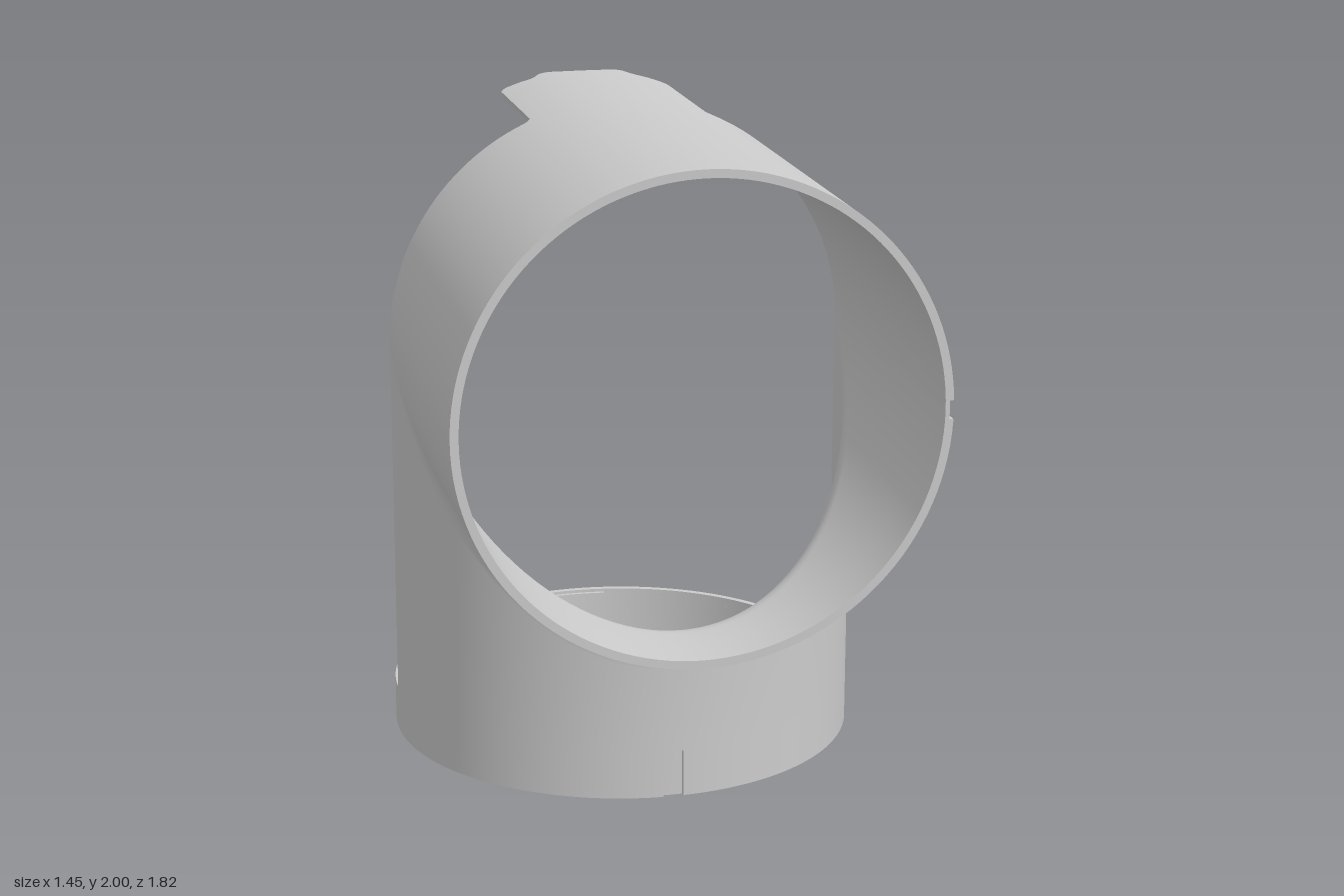
import * as THREE from 'three';
import { toCreasedNormals } from 'three/addons/utils/BufferGeometryUtils.js';

const R = 0.725, RI = 0.70;        // outer and inner tube radius
const AXIS_Y = 1.275, AXIS_Z = -0.18; // axes of the horizontal and vertical tube
const BLEND = 0.865;               // radius on which the fillet centres lie
const FRONT = 0.91, E = 0.0008;
const material = new THREE.MeshStandardMaterial({ color: 0xcccccc, side: THREE.DoubleSide });
const V = (x, y, z) => new THREE.Vector3(x, y, z);
const rad = THREE.MathUtils.degToRad;

// Shallow keying slots: outer points inside one are pulled inwards
function slot(p) {
  if (Math.abs(p.x) < 0.03 && p.y < 0.145 && p.z > 0) p.z -= 0.012;
  if (p.x > 0.6 && p.z > 0.77 && p.y > 1.245 && p.y < 1.3) p.x -= 0.012;
  return p;
}

// Skin over closed loops, with optional caps on the first k segments of the end loops
function skin(loops, k = 0) {
  const n = loops[0].length, index = [];
  const quad = (a, b, c, d) => index.push(a, b, c, a, c, d);
  for (let c = 0; c < loops.length - 1; c++)
    for (let i = 0; i < n; i++) {
      const j = (i + 1) % n, a = c * n, b = a + n;
      quad(a + i, b + i, b + j, a + j);
    }
  const last = (loops.length - 1) * n;
  for (let i = 0; i < k; i++) {
    quad(i, i + 1, n - 2 - i, n - 1 - i);
    quad(last + i, last + n - 1 - i, last + n - 2 - i, last + i + 1);
  }
  const g = new THREE.BufferGeometry().setFromPoints(loops.flat());
  g.setIndex(index);
  return toCreasedNormals(g, 0.6);
}

// Lower shell: runs up the vertical half tube, round the fillet and out along the horizontal one
function lowerPath(phi, r) {
  const s = Math.sin(phi), c = Math.max(0, Math.cos(phi)), rho = BLEND - r;
  const pts = [0, 0.145 - E, 0.145 + E].map(y => V(r * s, y, AXIS_Z + r * c));
  const centre = V(BLEND * s, AXIS_Y - BLEND * c, AXIS_Z + BLEND * c);
  for (let i = 0; i <= 10; i++) {
    const d = V(-s, 0, -c).lerp(V(-s, c, 0), i / 10).normalize();
    pts.push(d.multiplyScalar(rho).add(centre));
  }
  for (const z of [0.77 - E, 0.77 + E, FRONT]) pts.push(V(r * s, AXIS_Y - r * c, z));
  return pts;
}

function lowerShell() {
  const angles = [];
  for (let i = 0; i <= 64; i++) angles.push(-Math.PI / 2 + Math.PI * i / 64);
  const a = Math.asin(0.03 / R), b = Math.acos(0.03 / R);
  for (const e of [-E, E]) angles.push(a + e, -a + e, b + e);
  angles.sort((p, q) => p - q);
  return skin(angles.map(p => [...lowerPath(p, R).map(slot), ...lowerPath(p, RI).reverse()]), 3);
}

// Rear edge of the upper shell, including the tongue with its rounded corners and two bumps
const TIP = [[0, -0.705], [0.03, -0.708], [0.06, -0.717], [0.09, -0.735], [0.11, -0.747],
  [0.125, -0.75], [0.14, -0.745], [0.15, -0.73], [0.16, -0.715], [0.175, -0.706], [0.245, -0.705]];
function rearEdge(x) {
  x = Math.abs(x);
  if (x >= 0.305) return AXIS_Z;
  const arc = d => Math.sqrt(Math.max(0, 0.0009 - d * d));
  if (x > 0.275) return AXIS_Z - 0.03 + arc(x - 0.305);
  if (x > 0.245) return -0.675 - arc(x - 0.245);
  const i = Math.max(1, TIP.findIndex(p => p[0] >= x));
  const [p, q] = [TIP[i - 1], TIP[i]];
  return THREE.MathUtils.mapLinear(x, p[0], q[0], p[1], q[1]);
}

function upperShell() {
  const half = TIP.map(p => p[0]).concat([0.21, 0.255, 0.265, 0.272, 0.275, 0.2752, 0.277, 0.285, 0.295, 0.305])
    .map(x => Math.asin(x / R));
  const from = Math.asin(0.305 / R);
  for (let i = 1; i <= 26; i++) half.push(from + (Math.PI / 2 - from) * i / 26);
  const s = Math.acos(0.025 / R);
  half.push(s - E, s + E);
  const angles = [...half, ...half.filter(a => a > 0).map(a => -a)].sort((a, b) => a - b);
  return skin(angles.map(a => {
    const rows = [FRONT, 0.77 + E, 0.77 - E, AXIS_Z + 0.1, rearEdge(R * Math.sin(a))];
    const line = r => rows.map(z => V(r * Math.sin(a), AXIS_Y + r * Math.cos(a), z));
    return [...line(R).map(slot), ...line(RI).reverse()];
  }));
}

// Solid arc about the vertical axis; degrees run from +x (0) over the rear (90) to -x (180)
function band(r0, r1, a0, a1, y, h) {
  const shape = new THREE.Shape();
  shape.absarc(0, 0, r1, rad(a0), rad(a1), false);
  shape.absarc(0, 0, r0, rad(a1), rad(a0), true);
  const curveSegments = Math.max(3, Math.ceil((a1 - a0) / 4));
  const g = new THREE.ExtrudeGeometry(shape, { depth: h, bevelEnabled: false, curveSegments });
  g.rotateX(-Math.PI / 2).translate(0, y, AXIS_Z);
  return toCreasedNormals(g, 0.6);
}

export function createModel() {
  const model = new THREE.Group();
  const add = (name, geometry, parent = model) => {
    const mesh = new THREE.Mesh(geometry, material);
    mesh.name = name;
    parent.add(mesh);
    return mesh;
  };

  add('lowerShell', lowerShell());
  add('upperShellWithTongue', upperShell());

  // Base ring behind the shell, its inner lining and the stepped lip with a gap
  add('baseRing', band(0.68, R, 0, 180, 0, 0.14));
  add('baseRingLining', band(0.68, RI + 0.005, 180, 360, 0, 0.14));
  add('ringLip', band(0.68, RI, 0, 137, 0.135, 0.035));
  add('ringLipShort', band(0.68, RI, 145, 180, 0.135, 0.035));
  add('ringLatch', band(0.668, 0.685, 82, 98, 0.12, 0.04));

  // Raised frames and bosses on the inside of the front wall
  const details = new THREE.Group();
  details.name = 'innerWallDetails';
  model.add(details);
  const rib = (t0, t1, y, h) => add('innerRib', band(0.688, RI + 0.003, t0 - 90, t1 - 90, y, h), details);
  for (const s of [-1, 1]) {
    const mirrored = (a, b, y, h) => s > 0 ? rib(a, b, y, h) : rib(-b, -a, y, h);
    for (const t of [9, 22, 34]) mirrored(t, t + 1.5, 0.18, 0.26);
    mirrored(9, 35.5, 0.43, 0.02);
    for (const y of [0.3, 0.48, 0.66]) mirrored(62, 80, y, 0.02);
    mirrored(62, 63.5, 0.3, 0.38);
    const t = s * rad(50);
    const ring = new THREE.Shape().absarc(0, 0, 0.07, 0, Math.PI * 2);
    ring.holes.push(new THREE.Path().absarc(0, 0, 0.035, 0, Math.PI * 2, true));
    const boss = add('innerBoss', toCreasedNormals(
      new THREE.ExtrudeGeometry(ring, { depth: 0.025, bevelEnabled: false, curveSegments: 20 }), 0.6), details);
    boss.position.set(0.68 * Math.sin(t), 0.45, AXIS_Z + 0.68 * Math.cos(t));
    boss.rotation.y = t;
  }
  return model;
}
